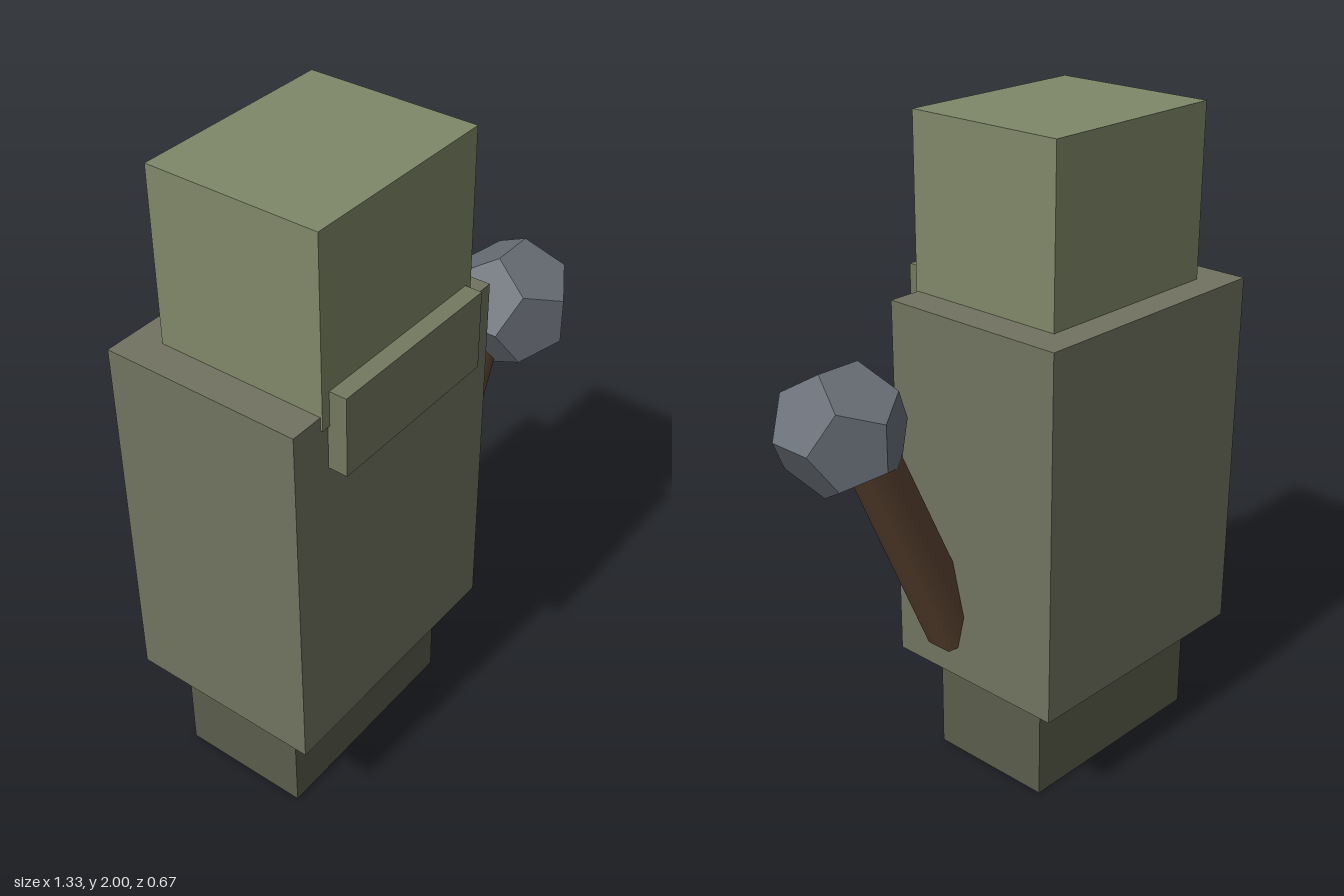
import * as THREE from 'three';

const material = (color, flatShading = false) => new THREE.MeshStandardMaterial({ color, flatShading });

// Box given by its [min, max] range on each axis
function block(name, color, [x0, x1], [y0, y1], [z0, z1]) {
  const mesh = new THREE.Mesh(new THREE.BoxGeometry(x1 - x0, y1 - y0, z1 - z0), material(color));
  mesh.position.set((x0 + x1) / 2, (y0 + y1) / 2, (z0 + z1) / 2);
  mesh.name = name;
  return mesh;
}

export function createModel() {
  const model = new THREE.Group();
  model.name = 'blockFigureWithClub';

  // Stacked body
  model.add(
    block('legs', 0x5a5c4a, [-0.595, 0.1], [0, 0.36], [-0.235, 0.175]),
    block('torso', 0x717360, [-0.667, 0.176], [0.34, 1.48], [-0.336, 0.274]),
    block('head', 0x808869, [-0.563, 0.07], [1.44, 2], [-0.243, 0.28]),
    block('jaw', 0x747960, [-0.535, 0.045], [1.305, 1.545], [0.2, 0.332]),
  );

  // Club: tapered six-sided handle leaning out of the torso's side
  const bottom = new THREE.Vector3(0.133, 0.46, 0.086);
  const top = new THREE.Vector3(0.468, 1.2, 0.086);
  const axis = top.clone().sub(bottom);
  const handle = new THREE.Mesh(
    new THREE.CylinderGeometry(0.077, 0.085, axis.length(), 6),
    material(0x5a4230),
  );
  handle.position.copy(bottom).add(top).multiplyScalar(0.5);
  handle.rotation.z = -Math.atan2(axis.x, axis.y);
  handle.name = 'clubHandle';

  // Faceted stone on the end of the handle
  const stone = new THREE.Mesh(new THREE.DodecahedronGeometry(0.195), material(0x6a7078, true));
  stone.position.set(0.484, 1.215, 0.155);
  stone.name = 'clubStone';

  const club = new THREE.Group();
  club.name = 'club';
  club.add(handle, stone);
  model.add(club);
  return model;
}
